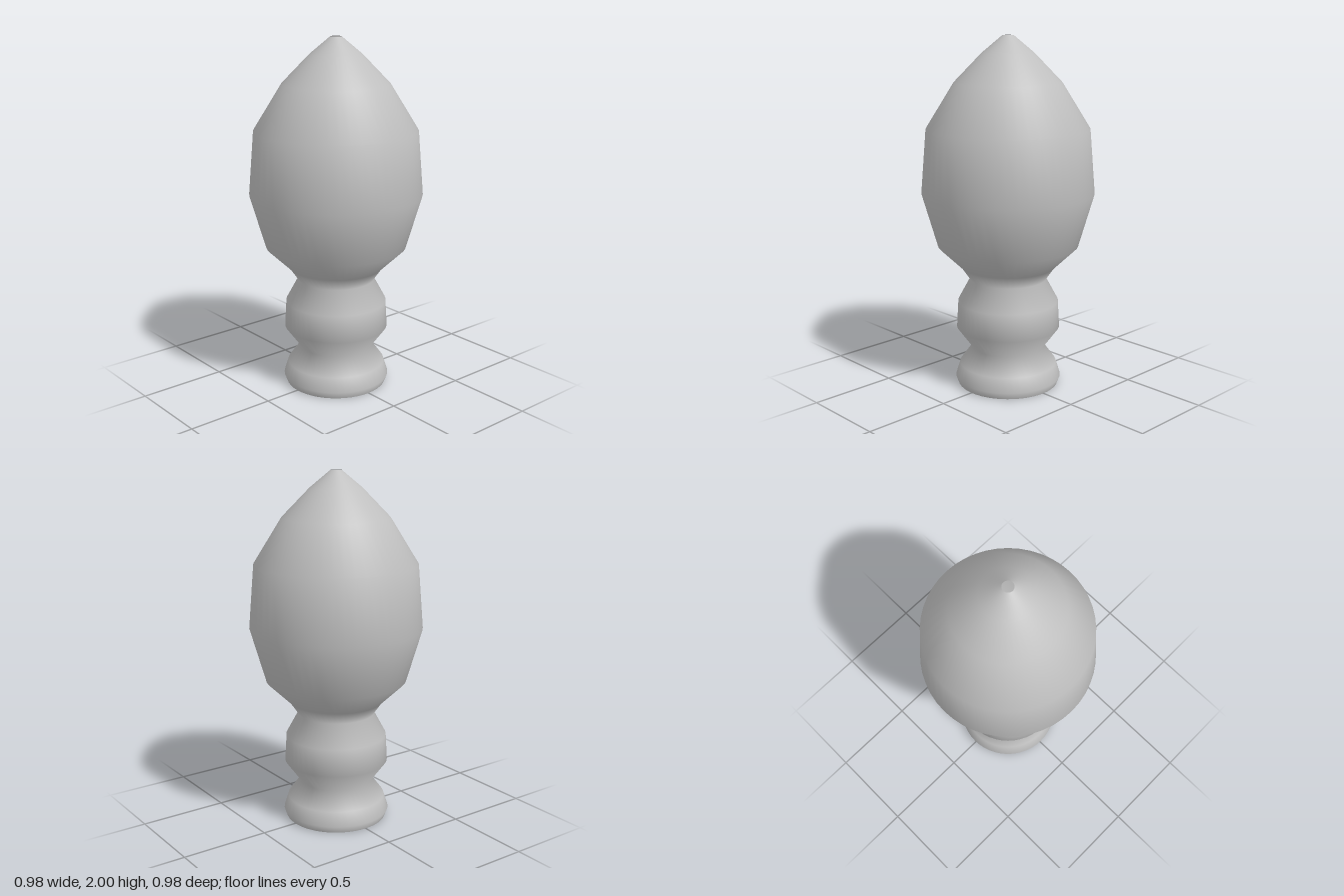
import * as THREE from 'three';

export function createModel() {
  const group = new THREE.Group();
  group.name = 'finial';

  const grey = new THREE.MeshStandardMaterial({ color: 0xc0c0c0, side: THREE.DoubleSide });
  grey.name = 'plain grey';

  // Radius and height up the turned shell, open at the foot and the tip
  const profile = [
    [0.29, 0], [0.305, 0.04], [0.28, 0.12], [0.208, 0.218], // flared foot
    [0.297, 0.34], [0.288, 0.495], [0.218, 0.625],          // collar ring
    [0.27, 0.70], [0.4, 0.825], [0.488, 1.13],              // bud, lower half
    [0.458, 1.49], [0.3, 1.745], [0.145, 1.905], [0.031, 2] // bud, tapering to the tip
  ].map(([r, y]) => new THREE.Vector2(r, y));

  const shell = new THREE.Mesh(new THREE.LatheGeometry(profile, 48), grey);
  shell.name = 'turnedShell';
  group.add(shell);
  return group;
}
